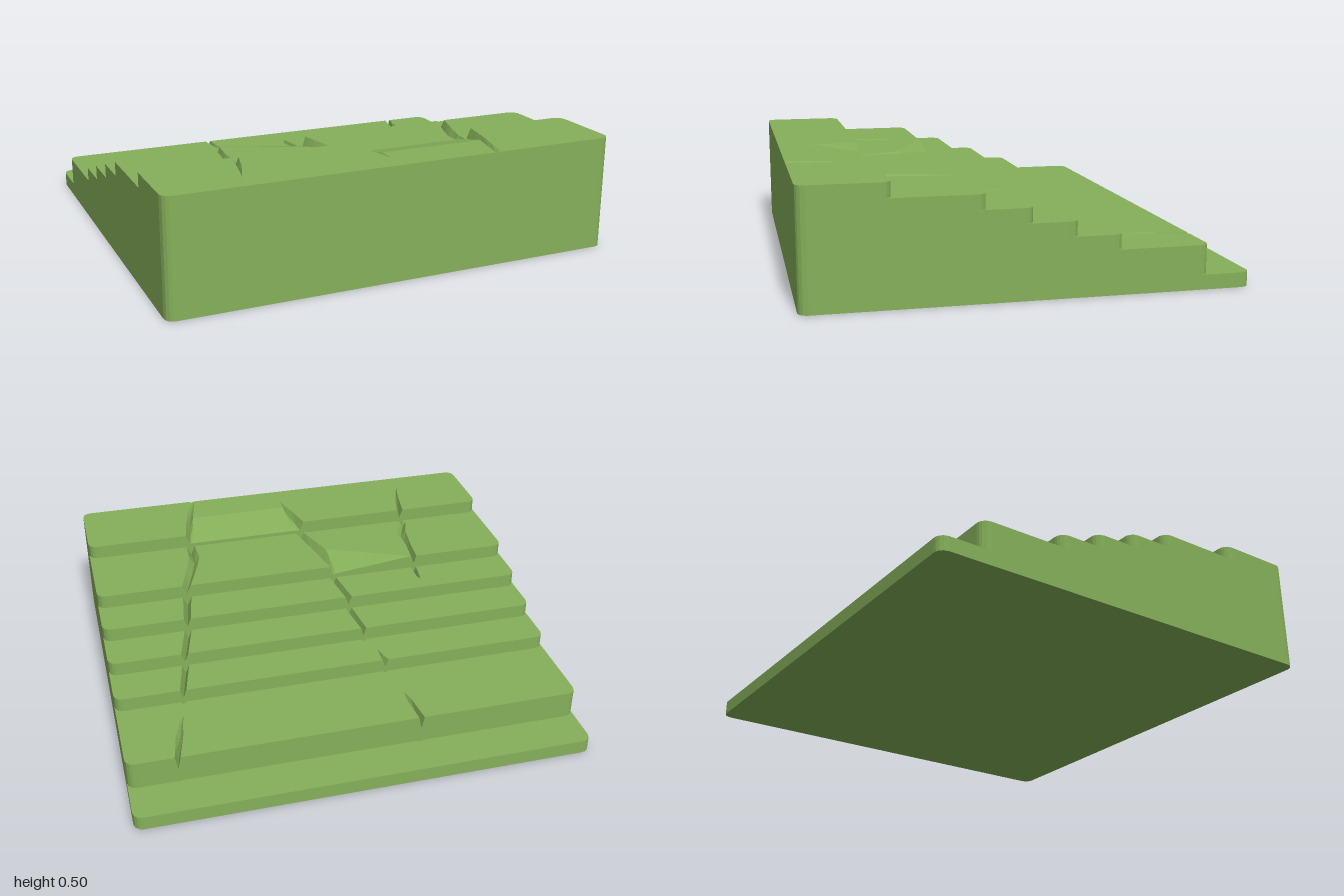
import * as THREE from 'three';

// Terraces from front to back: [front z, back z, height]
const TREADS = [
  [0.925, 0.56, 0.5], [0.56, 0.19, 0.4375], [0.19, 0, 0.375], [0, -0.185, 0.3125],
  [-0.185, -0.37, 0.25], [-0.37, -0.74, 0.1875], [-0.74, -0.925, 0.0625],
];
// Cracks running down the slope: [z, centre x, half width, depth]
const CRACKS = [
  [[0.81, -0.645, 0, 0], [0.68, -0.61, 0.01, 0.02], [0.56, -0.585, 0.015, 0.04], [0.54, -0.6, 0.015, 0.02],
    [0.45, -0.56, 0.022, 0.03], [0.3, -0.55, 0.012, 0.03], [0.19, -0.54, 0.014, 0.04], [0.08, -0.54, 0.01, 0]],
  [[0.81, -0.005, 0, 0], [0.7, -0.025, 0.015, 0.025], [0.56, -0.055, 0.02, 0.045], [0.36, -0.11, 0.03, 0.045],
    [0.19, -0.13, 0.015, 0.045], [0, -0.155, 0.015, 0.04], [-0.185, -0.175, 0.012, 0.04], [-0.2, -0.18, 0, 0],
    [-0.28, -0.21, 0, 0], [-0.37, -0.225, 0.014, 0.04], [-0.38, -0.225, 0, 0],
    [-0.54, -0.255, 0, 0], [-0.6, -0.262, 0.01, 0.02], [-0.74, -0.275, 0.012, 0.06], [-0.745, -0.275, 0, 0]],
  [[0.925, 0.437, 0.014, 0.006], [0.7, 0.485, 0.016, 0.03], [0.56, 0.505, 0.02, 0.045], [0.45, 0.505, 0.025, 0.035],
    [0.36, 0.53, 0.025, 0.03], [0.19, 0.585, 0.02, 0.045], [0, 0.615, 0.016, 0.04], [-0.185, 0.66, 0.016, 0.04],
    [-0.37, 0.7, 0.014, 0.04], [-0.39, 0.705, 0, 0], [-0.46, 0.72, 0, 0],
    [-0.6, 0.755, 0.016, 0.025], [-0.74, 0.785, 0.012, 0.06], [-0.745, 0.785, 0, 0]],
];
const ROUND = 0.04;

// Crack centre, half width and depth at a given z
function crackAt(keys, z) {
  if (z >= keys[0][0]) return keys[0].slice(1);
  for (let i = 1; i < keys.length; i++) {
    if (z >= keys[i][0]) {
      const t = (keys[i - 1][0] - z) / (keys[i - 1][0] - keys[i][0]);
      return [1, 2, 3].map((k) => THREE.MathUtils.lerp(keys[i - 1][k], keys[i][k], t));
    }
  }
  return keys[keys.length - 1].slice(1);
}

// Cross-section: sides, shoulder, and the top notched by the cracks
function section(z, y, shoulder, outer, half, tread) {
  const [a, b, c] = CRACKS.map((keys) => crackAt(keys, z));
  const clampW = (k) => Math.max(k[1], 0.003);
  // Sunken ramps between cracks on the two upper terraces
  const rampBC = tread === 0 ? 0.045 * Math.max(0, (0.74 - z) / 0.18) : 0;
  const rampB = tread === 1 ? 0.04 * Math.max(0, (0.37 - z) / 0.18) : 0;
  const spread = (0.37 - z) / 0.18;
  const foot = -0.13 - 0.4 * Math.min(1, Math.max(0, spread));
  const leftB = b[0] - clampW(b);
  const rampX = Math.min(leftB - 0.004, Math.max(foot, a[0] + clampW(a) + 0.004));
  const notch = (k, left, right) => [
    [k[0] - clampW(k), y - left],
    [k[0], y - Math.max(k[2], left, right)],
    [k[0] + clampW(k), y - right],
  ];
  return [
    [-outer, 0], [-outer, shoulder], [-half, shoulder], [-half, y],
    ...notch(a, 0, 0), [rampX, y], ...notch(b, rampB, rampBC), ...notch(c, rampBC, 0),
    [half, y], [half, shoulder], [outer, shoulder], [outer, 0],
  ].map(([px, py]) => new THREE.Vector3(px, py, z));
}

function createTerraces() {
  const positions = [];
  const tri = (p, q, r) => {
    const area = q.clone().sub(p).cross(r.clone().sub(p)).length();
    if (area > 1e-8) [p, q, r].forEach((v) => positions.push(v.x, v.y, v.z));
  };
  const quad = (p, q, r, s) => { tri(p, q, r); tri(p, r, s); };
  const cap = (row, back) => {
    const ground = row.map((v) => new THREE.Vector3(v.x, 0, v.z));
    for (let j = 0; j < row.length - 1; j++) {
      if (back) quad(ground[j + 1], ground[j], row[j], row[j + 1]);
      else quad(ground[j], ground[j + 1], row[j + 1], row[j]);
    }
  };
  // Inset of a rounded plan corner at a distance from the edge
  const inset = (d) => {
    const t = Math.max(0, 1 - d / ROUND);
    return ROUND * (1 - Math.sqrt(1 - t * t));
  };

  TREADS.forEach(([z0, z1, y], i) => {
    const last = i === TREADS.length - 1;
    const shoulder = last ? 0 : TREADS[i + 1][2];
    const zs = new Set([z0, z1]);
    [0.002, 0.008, 0.02, ROUND].forEach((d) => { zs.add(z1 + d); if (i === 0) zs.add(z0 - d); });
    for (const keys of CRACKS) keys.forEach(([z]) => { if (z < z0 && z > z1) zs.add(z); });
    [0.74, 0.37].forEach((z) => { if (z < z0 && z > z1) zs.add(z); });
    if (i === 1) [0.33, 0.29, 0.25, 0.22].forEach((z) => zs.add(z));

    const rows = [...zs].sort((p, q) => q - p).map((z) => {
      const backHalf = 1 - inset(z - z1);
      const frontHalf = i === 0 ? 1 - inset(z0 - z) : 1;
      const outer = last ? backHalf : frontHalf;
      return section(z, y, shoulder, outer, Math.min(backHalf, frontHalf), i);
    });
    if (i === 0) cap(rows[0], false);
    if (last) cap(rows[rows.length - 1], true);
    // Riser: fold the top edge down to the next terrace
    else rows.push(section(z1, shoulder, shoulder, 1, 1 - ROUND, -1));

    for (let r = 0; r < rows.length - 1; r++) {
      const a = rows[r], b = rows[r + 1], n = a.length;
      const riser = !last && r === rows.length - 2;
      for (let j = 0; j < (riser ? n - 1 : n); j++) {
        const k = (j + 1) % n;
        quad(a[j], a[k], b[k], b[j]);
      }
    }
  });

  const geometry = new THREE.BufferGeometry();
  geometry.setAttribute('position', new THREE.Float32BufferAttribute(positions, 3));
  geometry.computeVertexNormals();
  return geometry;
}

export function createModel() {
  const group = new THREE.Group();
  group.name = 'terracedSlope';
  const material = new THREE.MeshStandardMaterial({ color: 0x86b05a, flatShading: true });
  const terraces = new THREE.Mesh(createTerraces(), material);
  terraces.name = 'crackedTerraces';
  group.add(terraces);
  return group;
}
